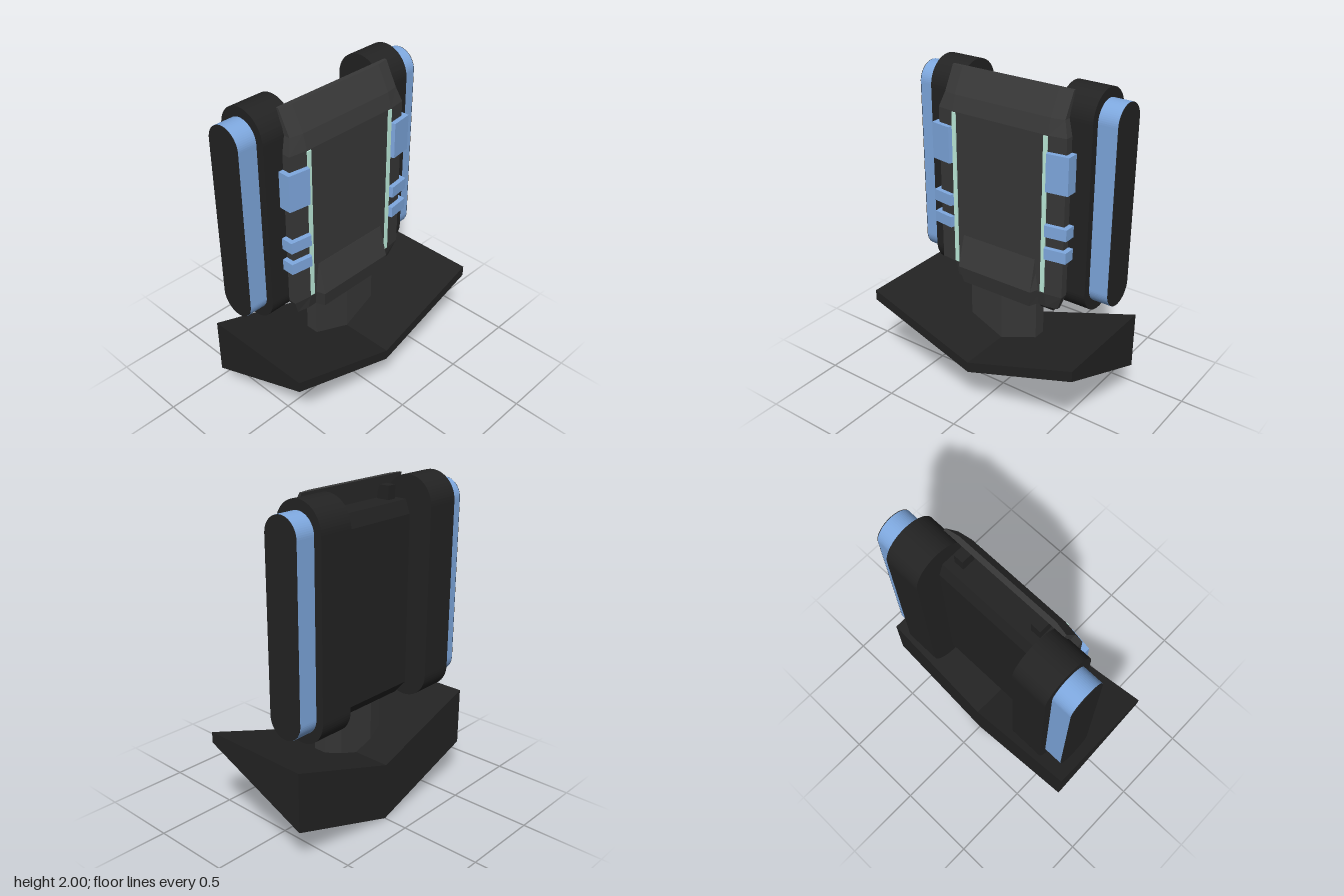
import * as THREE from 'three';

const mat = (color) => new THREE.MeshStandardMaterial({ color, flatShading: true });
const dark = mat(0x232323), grey = mat(0x383838), blue = mat(0x7fa9e0), mint = mat(0xbfeedd);

export function createModel() {
  const model = new THREE.Group();
  const add = (name, geometry, material) => {
    const mesh = new THREE.Mesh(geometry, material);
    mesh.name = name;
    model.add(mesh);
    return mesh;
  };
  const box = (name, x0, x1, y0, y1, z0, z1, material) => {
    const g = new THREE.BoxGeometry(x1 - x0, y1 - y0, z1 - z0);
    return add(name, g.translate((x0 + x1) / 2, (y0 + y1) / 2, (z0 + z1) / 2), material);
  };
  // Side profile of [z, y] points extruded from x0 to x1
  const across = (profile, x0, x1, steps = 1) => {
    const shape = new THREE.Shape(profile.map(([z, y]) => new THREE.Vector2(-z, y)));
    return new THREE.ExtrudeGeometry(shape, { depth: x1 - x0, bevelEnabled: false, steps })
      .rotateY(Math.PI / 2).translate(x0, 0, 0);
  };
  // Plan of [x, z] points extruded from y0 to y1
  const upward = (plan, y0, y1) => {
    const shape = new THREE.Shape(plan.map(([x, z]) => new THREE.Vector2(x, -z)));
    return new THREE.ExtrudeGeometry(shape, { depth: y1 - y0, bevelEnabled: false })
      .rotateX(-Math.PI / 2).translate(0, y0, 0);
  };
  // Stacked rings of [x, y, z], listed bottom to top, anticlockwise seen from above
  const loft = (rings) => {
    const n = rings[0].length, pos = [];
    const tri = (a, b, c) => pos.push(...a, ...b, ...c);
    for (let r = 0; r < rings.length - 1; r++) {
      for (let i = 0; i < n; i++) {
        const j = (i + 1) % n, lo = rings[r], hi = rings[r + 1];
        tri(lo[i], lo[j], hi[j]);
        tri(lo[i], hi[j], hi[i]);
      }
    }
    const first = rings[0], last = rings[rings.length - 1];
    for (let i = 1; i < n - 1; i++) {
      tri(first[0], first[i + 1], first[i]);
      tri(last[0], last[i], last[i + 1]);
    }
    const g = new THREE.BufferGeometry();
    g.setAttribute('position', new THREE.Float32BufferAttribute(pos, 3));
    g.computeVertexNormals();
    return g;
  };
  // Raises both wings of the base into a V
  const bendV = (g) => {
    const p = g.attributes.position;
    for (let i = 0; i < p.count; i++) p.setY(i, p.getY(i) + 0.34 * Math.abs(p.getX(i)));
    g.computeVertexNormals();
    return g;
  };

  // V-shaped base with a recessed underside
  const top = [[-0.345, 0.362], [0.355, 0.362]];
  const recessed = [...top, [0.355, 0.295], [0.275, 0.285], [0.275, 0.315],
    [-0.26, 0.05], [-0.26, 0.015], [-0.345, 0]];
  const solid = [...top, [0.355, 0.295], [-0.345, 0]];
  const slat = [[0.275, 0.325], [0.275, 0.293], [-0.26, 0.03], [-0.26, 0.06]];
  add('base', bendV(across(recessed, -0.6, 0.6, 2)), dark);
  for (const s of [-1, 1]) {
    const span = (a, b) => (s > 0 ? [a, b] : [-b, -a]);
    add('baseEnd', bendV(across(solid, ...span(0.6, 0.715))), dark);
    for (const x of [0.12, 0.36]) add('baseSlat', bendV(across(slat, ...span(x, x + 0.12))), grey);
  }

  // Faceted neck
  add('neck', upward([[-0.24, 0], [0, 0.02], [0.24, 0], [0.24, -0.08], [0.13, -0.11],
    [-0.13, -0.11], [-0.24, -0.08]], 0.34, 0.75), grey);

  // Central housing behind the front panel
  add('housing', across([[-0.02, 0.7], [-0.05, 0.64], [-0.13, 0.66], [-0.21, 0.75],
    [-0.21, 1.78], [-0.18, 1.86], [-0.02, 1.86]], -0.33, 0.33), dark);

  // Front panel with narrowed, swept-back ends: y, half width, front z, back z
  const panel = [[0.7, 0.39, 0.02, -0.02], [0.8, 0.43, 0.045, -0.02], [1.76, 0.43, 0.045, -0.02],
    [1.85, 0.4, 0.02, -0.035], [1.99, 0.4, -0.055, -0.085]];
  add('frontPanel', loft(panel.map(([y, w, f, b]) =>
    [[-w, y, f - 0.015], [-0.32, y, f], [0.32, y, f], [w, y, f - 0.015], [w, y, b], [-w, y, b]])), grey);

  // Raised lower block: y, back half width, front half width, front z
  const block = [[0.7, 0.27, 0.24, 0.075], [0.81, 0.295, 0.26, 0.098], [1.0, 0.26, 0.255, 0.047]];
  add('lowerBlock', loft(block.map(([y, wb, wf, f]) =>
    [[-wf, y, f], [wf, y, f], [wb, y, 0], [-wb, y, 0]])), grey);

  // Rounded upright slab with the given z centre, radius and y range
  const slab = (r, y0, y1, x0, x1) => {
    const shape = new THREE.Shape();
    shape.absarc(0.198, y1 - r, r, 0, Math.PI, false);
    shape.absarc(0.198, y0 + r, r, Math.PI, Math.PI * 2, false);
    return new THREE.ExtrudeGeometry(shape, { depth: x1 - x0, bevelEnabled: false, curveSegments: 16 })
      .rotateY(Math.PI / 2).translate(x0, 0, 0);
  };
  const clip = [[0.32, 0.045], [0.33, 0.073], [0.462, 0.055], [0.462, -0.02], [0.432, -0.02], [0.432, 0.03]];

  for (const s of [-1, 1]) {
    const side = s > 0 ? 'left' : 'right';
    const span = (a, b) => (s > 0 ? [a, b] : [-b, -a]);
    // Side pods with coloured bands and dark outer caps
    add(side + 'Pod', slab(0.16, 0.67, 2, ...span(0.325, 0.54)), dark);
    add(side + 'PodBand', slab(0.112, 0.73, 1.943, ...span(0.53, 0.658)), blue);
    add(side + 'PodCap', slab(0.111, 0.731, 1.942, ...span(0.65, 0.662)), dark);
    // Light strips on the panel
    box(side + 'Strip', ...span(0.295, 0.322), 0.81, 1.757, 0.02, 0.051, mint);
    // Clips wrapping the panel edge
    const plan = clip.map(([x, z]) => [s * x, z]);
    for (const [y0, y1] of [[1.45, 1.67], [1.18, 1.25], [1.04, 1.108]]) {
      add(side + 'Clip', upward(plan, y0, y1), blue);
    }
    // Brackets joining housing and panel top
    box(side + 'Bracket', ...span(0.23, 0.29), 1.84, 1.94, -0.13, -0.05, dark);
  }
  return model;
}
